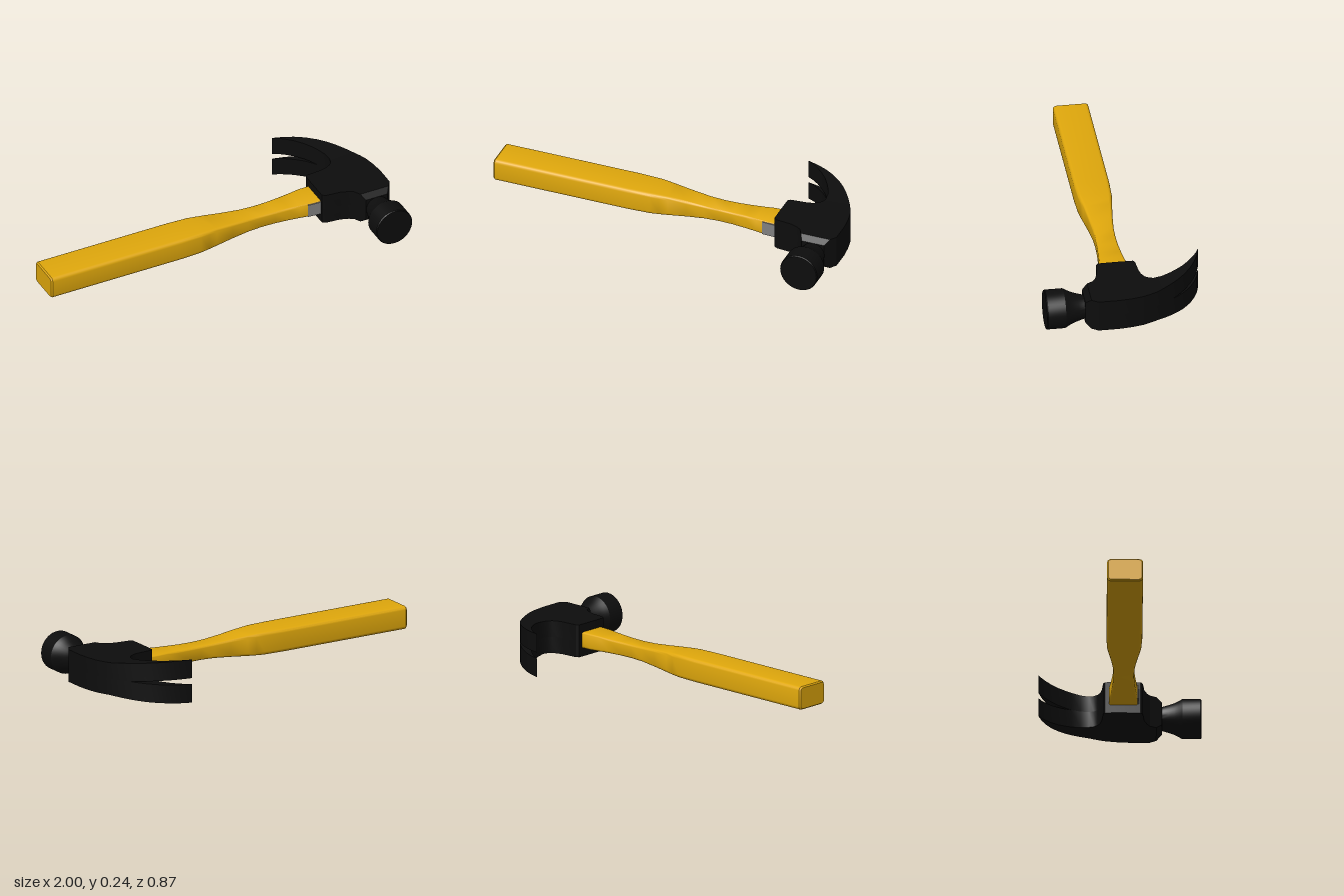
import * as THREE from 'three';
import { toCreasedNormals } from 'three/addons/utils/BufferGeometryUtils.js';

const MID_Y = 0.121;

// Skin a series of closed rings (counter-clockwise about the direction of travel) and cap both ends
function loft(rings, crease) {
  const n = rings[0].length, last = (rings.length - 1) * n, index = [];
  for (let i = 0; i < rings.length - 1; i++) {
    for (let j = 0; j < n; j++) {
      const a = i * n + j, b = i * n + (j + 1) % n;
      index.push(a, b, b + n, a, b + n, a + n);
    }
  }
  for (let j = 1; j < n - 1; j++) {
    index.push(0, j + 1, j, last, last + j, last + j + 1);
  }
  const geometry = new THREE.BufferGeometry();
  geometry.setAttribute('position', new THREE.Float32BufferAttribute(rings.flat(2), 3));
  geometry.setIndex(index);
  return toCreasedNormals(geometry, crease);
}

// Rounded-rectangle ring across the handle
function handleRing(x, h, w) {
  const r = 0.3 * h, steps = 4, ring = [];
  for (let corner = 0; corner < 4; corner++) {
    const sy = corner === 0 || corner === 3 ? 1 : -1, sz = corner < 2 ? 1 : -1;
    for (let k = 0; k <= steps; k++) {
      const a = (corner + k / steps) * Math.PI / 2;
      ring.push([x, MID_Y + sy * (h - r) + r * Math.cos(a), 0.018 + sz * (w - r) + r * Math.sin(a)]);
    }
  }
  return ring;
}

// Linear interpolation through [position, value] pairs
function piecewise(pairs, t) {
  for (let i = 1; i < pairs.length; i++) {
    const [t0, v0] = pairs[i - 1], [t1, v1] = pairs[i];
    if (t <= t1) return THREE.MathUtils.lerp(v0, v1, THREE.MathUtils.clamp((t - t0) / (t1 - t0), 0, 1));
  }
  return pairs[pairs.length - 1][1];
}

export function createModel() {
  const group = new THREE.Group();
  const wood = new THREE.MeshStandardMaterial({ color: 0xe0a80c });
  const black = new THREE.MeshStandardMaterial({ color: 0x0d0d0d });
  const grey = new THREE.MeshStandardMaterial({ color: 0x808080 });
  const add = (name, geometry, material, parent = group) => {
    const mesh = new THREE.Mesh(geometry, material);
    mesh.name = name;
    parent.add(mesh);
    return mesh;
  };

  // Handle: position along x, half height, half width
  const handleStations = [
    [-1, 0.058, 0.09], [-0.992, 0.064, 0.096], [-0.22, 0.064, 0.096], [-0.1, 0.0635, 0.091],
    [-0.05, 0.061, 0.085], [0, 0.058, 0.078], [0.1, 0.049, 0.066], [0.2, 0.041, 0.057],
    [0.28, 0.038, 0.055], [0.36, 0.038, 0.057], [0.44, 0.04, 0.063], [0.5, 0.042, 0.069],
    [0.56, 0.044, 0.077], [0.68, 0.045, 0.08],
  ];
  add('handle', loft(handleStations.map(s => handleRing(...s)), 0.6), wood);

  // Metal plate on the front of the handle beside the head
  const plate = add('handlePlate', new THREE.BoxGeometry(0.09, 0.076, 0.01), grey);
  plate.position.set(0.59, MID_Y, 0.0945);
  plate.rotation.y = -0.06;

  // Head outline: z, inner x, outer x, from the claw tip to the neck
  const headStations = [
    [-0.436, 0.597, 0.602], [-0.42, 0.63, 0.66], [-0.4, 0.66, 0.71], [-0.37, 0.697, 0.765],
    [-0.33, 0.735, 0.818], [-0.29, 0.762, 0.858], [-0.26, 0.779, 0.883], [-0.21, 0.8, 0.918],
    [-0.165, 0.805, 0.945], [-0.14, 0.798, 0.957], [-0.12, 0.782, 0.966], [-0.105, 0.755, 0.972],
    [-0.097, 0.72, 0.975], [-0.09, 0.635, 0.978], [-0.08, 0.621, 0.981], [-0.02, 0.62, 0.993],
    [0.05, 0.62, 1], [0.11, 0.621, 1], [0.122, 0.64, 1], [0.13, 0.72, 1],
    [0.145, 0.765, 1], [0.16, 0.789, 1], [0.195, 0.808, 0.976], [0.225, 0.825, 0.955],
  ];
  const halfHeight = [[-0.436, 0.12], [-0.165, 0.09], [0.195, 0.09], [0.225, 0.064]];
  const halfGap = [[-0.436, 0.0165], [-0.26, 0], [0.225, 0]];

  // The head is two mirrored halves, which part at the split in the claw
  const head = new THREE.Group();
  head.name = 'head';
  group.add(head);
  for (const side of [1, -1]) {
    const rings = headStations.map(([z, x0, x1]) => {
      const ys = [side * piecewise(halfGap, z), side * piecewise(halfHeight, z)];
      const lo = MID_Y + Math.min(...ys), hi = MID_Y + Math.max(...ys);
      return [[x0, lo, z], [x1, lo, z], [x1, hi, z], [x0, hi, z]];
    });
    add(side > 0 ? 'upperClawHalf' : 'lowerClawHalf', loft(rings, 0.5), black, head);
  }

  // Round neck and striking face
  const profile = [
    [0, 0.19], [0.063, 0.19], [0.064, 0.225], [0.074, 0.26], [0.084, 0.29], [0.096, 0.315],
    [0.107, 0.334], [0.107, 0.431], [0.103, 0.436], [0, 0.436],
  ].map(p => new THREE.Vector2(...p));
  const face = add('strikingFace', toCreasedNormals(new THREE.LatheGeometry(profile, 40), 0.5), black, head);
  face.rotation.x = Math.PI / 2;
  face.position.set(0.892, MID_Y, 0);

  return group;
}
